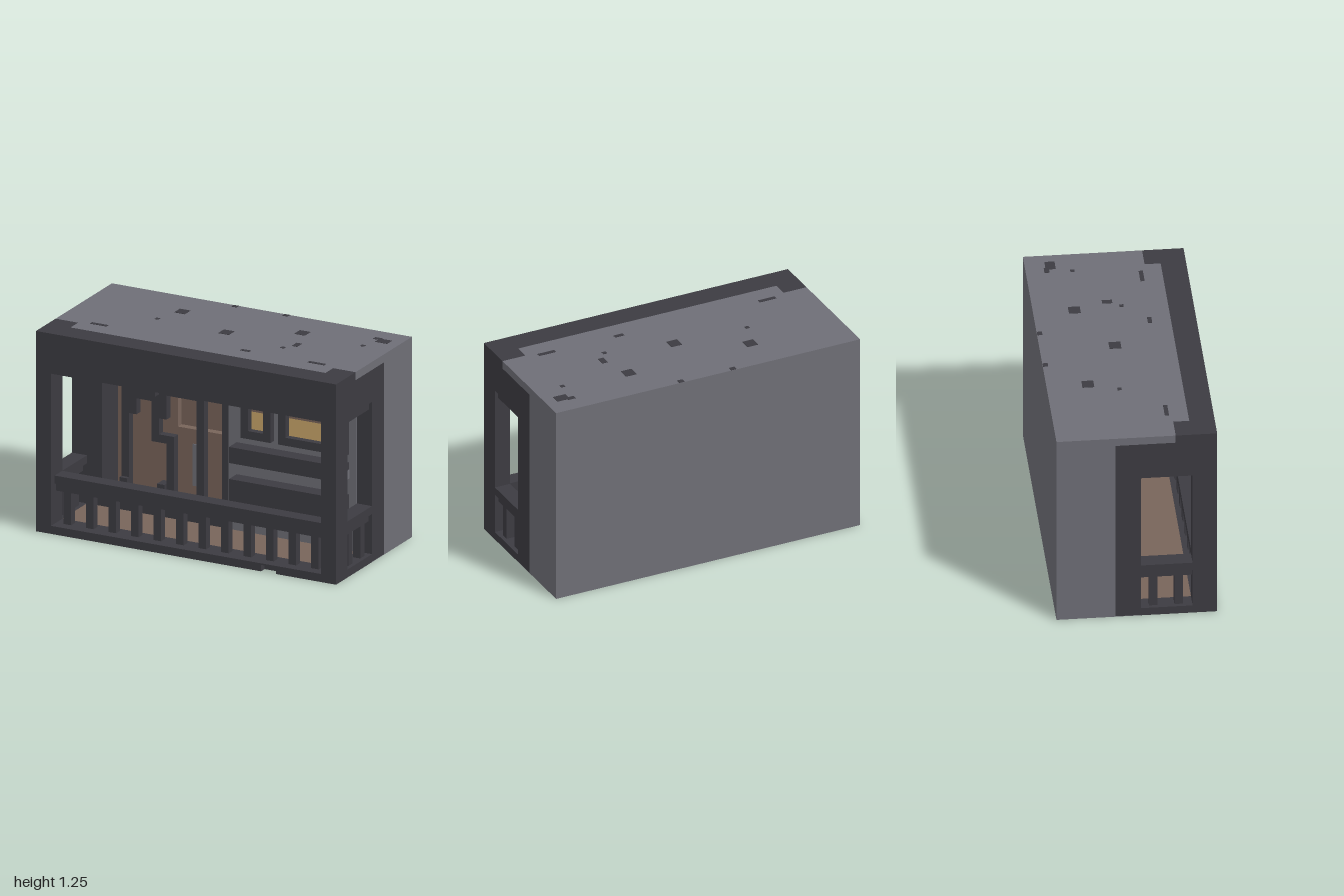
import * as THREE from 'three';

const mat = (name, color) => Object.assign(new THREE.MeshStandardMaterial({ color }), { name });

export function createModel() {
  const model = new THREE.Group();
  model.name = 'balconyModule';
  const dark = mat('charcoal', 0x3c3b41);
  const grey = mat('concreteGrey', 0x6e6e76);
  const brown = mat('brownPanel', 0x78645a);
  const gold = mat('windowGlow', 0xc9a66b);

  const add = (name, geo, m) => {
    const mesh = new THREE.Mesh(geo, m);
    mesh.name = name;
    model.add(mesh);
    return mesh;
  };
  // Box given by its limits on each axis
  const box = (name, m, x0, x1, y0, y1, z0, z1) => {
    const g = new THREE.BoxGeometry(x1 - x0, y1 - y0, z1 - z0);
    g.translate((x0 + x1) / 2, (y0 + y1) / 2, (z0 + z1) / 2);
    return add(name, g, m);
  };
  const rect = (x0, x1, y0, y1) =>
    [[x0, y0], [x1, y0], [x1, y1], [x0, y1]].map(([x, y]) => new THREE.Vector2(x, y));
  // Flat slab between z0 and z1 with one rectangular hole
  const slab = (name, m, outer, hole, z0, z1) => {
    const s = new THREE.Shape(rect(...outer));
    s.holes.push(new THREE.Path(rect(...hole)));
    const g = new THREE.ExtrudeGeometry(s, { depth: z1 - z0, bevelEnabled: false });
    g.translate(0, 0, z0);
    return add(name, g, m);
  };

  // House body with the entrance alcove cut into it
  const alcove = [-0.8, 0, 0.1, 0.9];
  const rim = [-0.85, 0.04, 0.05, 0.95];
  const niche = [-0.4, -0.05, 0.55, 0.85];
  box('houseBack', grey, -1, 1, 0, 1.2, -0.475, -0.225);
  slab('houseMiddle', grey, [-1, 1, 0, 1.2], alcove, -0.225, -0.175);
  slab('alcoveBackWall', brown, alcove, niche, -0.225, -0.175);
  box('nicheBack', brown, -0.4, -0.05, 0.55, 0.85, -0.225, -0.222);
  slab('houseWall', grey, [-1, 1, 0, 1.2], rim, -0.175, -0.125);
  slab('alcoveLining', dark, rim, alcove, -0.175, -0.125);
  slab('houseFront', dark, [-1, 1, 0.003, 1.2], alcove, -0.125, 0.025);
  box('houseUnderside', grey, -1, 1, 0, 0.003, -0.125, 0.025);
  box('greyFrontWall', grey, 0.045, 0.9, 0.05, 1, 0.025, 0.029);

  // Roof slab: grey field, dark front edge and corners
  box('roof', grey, -1, 1, 1.2, 1.25, -0.475, 0.23);
  box('roofFrontField', grey, -0.85, 0.85, 1.2, 1.25, 0.23, 0.325);
  box('roofEdge', dark, -1, 1, 1.2, 1.25, 0.325, 0.475);
  for (const s of [-1, 1]) {
    box('roofCorner', dark, s < 0 ? -1 : 0.85, s < 0 ? -0.85 : 1, 1.2, 1.25, 0.23, 0.325);
  }
  const spots = [
    [-0.4, -0.23, 0.07, 0.07], [0.4, -0.23, 0.07, 0.07], [0, -0.03, 0.07, 0.07],
    [0.89, -0.325, 0.08, 0.06], [0.84, -0.35, 0.05, 0.03], [-0.725, 0.2, 0.11, 0.025],
    [0.25, 0.2, 0.06, 0.025], [0.725, 0.2, 0.11, 0.025], [0.47, -0.03, 0.035, 0.06],
    [-0.47, -0.05, 0.025, 0.025], [0.42, 0.05, 0.025, 0.025], [0.82, -0.2, 0.025, 0.025],
    [-0.17, -0.458, 0.035, 0.03], [0.17, -0.458, 0.035, 0.03],
  ];
  for (const [x, z, w, d] of spots) {
    box('roofSpot', dark, x - w / 2, x + w / 2, 1.249, 1.252, z - d / 2, z + d / 2);
  }

  // Porch frame and floor
  box('porchLintel', dark, -1, 1, 1, 1.2, 0.025, 0.475);
  box('porchFloor', brown, -0.9, 0.9, 0, 0.05, 0.025, 0.33);
  box('frontSill', dark, -1, 1, 0, 0.05, 0.33, 0.43);
  box('frontSillLeft', dark, 0.6, 1, 0, 0.05, 0.43, 0.475);
  box('frontSillRight', dark, -1, 0.5, 0, 0.05, 0.43, 0.475);
  box('frontSillBridge', dark, 0.5, 0.6, 0.04, 0.05, 0.43, 0.475);

  // Posts, side sills, side rails and side balusters, mirrored
  for (const s of [-1, 1]) {
    const side = (name, a, b, ...r) => box(name, dark, Math.min(s * a, s * b), Math.max(s * a, s * b), ...r);
    side('cornerPost', 0.9, 1, 0.05, 1, 0.33, 0.475);
    side('sideSill', 0.9, 1, 0, 0.05, 0.025, 0.33);
    side('sideLintel', 0.92, 0.98, 0.95, 1, 0.025, 0.33);
    side('sideRailCap', 0.9, 1, 0.3, 0.35, 0.025, 0.33);
    side('sideRail', 0.925, 0.975, 0.25, 0.3, 0.025, 0.33);
    for (const z of [0.1, 0.25]) side('sideBaluster', 0.925, 0.975, 0.05, 0.25, z - 0.025, z + 0.025);
  }

  // Front railing
  box('frontRailCap', dark, -0.9, 0.9, 0.3, 0.35, 0.335, 0.43);
  box('frontRail', dark, -0.9, 0.9, 0.25, 0.3, 0.36, 0.41);
  for (let i = 0; i < 12; i++) {
    const x = -0.825 + 0.15 * i;
    box('frontBaluster', dark, x - 0.025, x + 0.025, 0.05, 0.25, 0.36, 0.41);
  }

  // Stepped door surround, pipe and box inside the alcove
  const steps = [
    [-0.75, 0.1], [-0.7, 0.1], [-0.7, 0.6], [-0.65, 0.6], [-0.65, 0.7], [-0.55, 0.7],
    [-0.55, 0.45], [-0.45, 0.45], [-0.45, 0.1], [-0.4, 0.1], [-0.4, 0.5], [-0.5, 0.5],
    [-0.5, 0.6], [-0.45, 0.6], [-0.45, 0.9], [-0.75, 0.9],
  ].map(([x, y]) => new THREE.Vector2(x, y));
  const surround = new THREE.ExtrudeGeometry(new THREE.Shape(steps), { depth: 0.05, bevelEnabled: false });
  surround.translate(0, 0, -0.175);
  add('doorSurround', surround, dark);
  box('doorBox', dark, -0.7, -0.5, 0.75, 0.85, -0.125, -0.075);
  box('leftFoot', dark, -0.5, -0.45, 0.1, 0.2, -0.175, -0.1);
  box('rightFoot', dark, -0.75, -0.7, 0.1, 0.2, -0.175, -0.1);
  box('pipeTop', dark, -0.45, -0.2, 0.75, 0.8, -0.175, -0.125);
  box('pipe', dark, -0.25, -0.2, 0.1, 0.75, -0.175, -0.125);
  box('pipePatch', grey, -0.3, -0.25, 0.2, 0.46, -0.175, -0.168);

  // Framed windows: gold pane with a brown blind at the top
  for (const [x0, x1] of [[0.15, 0.35], [0.4, 0.85]]) {
    slab('windowFrame', dark, [x0, x1, 0.65, 0.9], [x0 + 0.05, x1 - 0.05, 0.7, 0.85], 0.025, 0.075);
    box('windowPane', gold, x0 + 0.045, x1 - 0.045, 0.695, 0.81, 0.026, 0.034);
    box('windowBlind', brown, x0 + 0.045, x1 - 0.045, 0.81, 0.855, 0.026, 0.034);
  }

  // Shelf and planter under the windows
  box('shelf', dark, 0.1, 0.85, 0.5, 0.6, 0.025, 0.125);
  box('shelfEndPatch', grey, 0.849, 0.853, 0.5, 0.555, 0.029, 0.075);
  box('planter', dark, 0.1, 0.85, 0.2, 0.4, 0.025, 0.125);

  return model;
}
